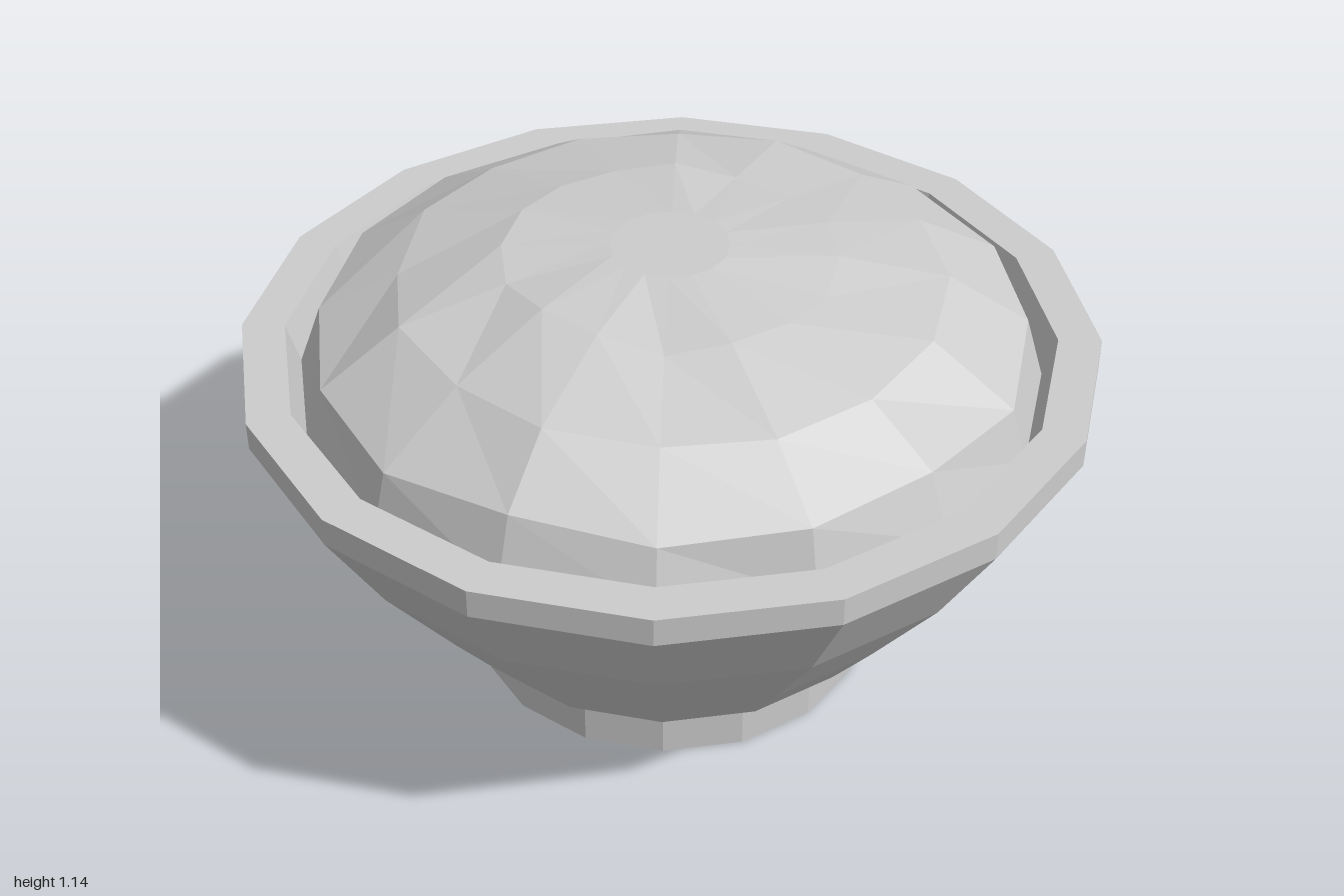
import * as THREE from 'three';

const SIDES = 16;

// Faceted turned shape with flat sides facing the axes; points are [radius, y]
function turned(points) {
  const geometry = new THREE.LatheGeometry(points.map(([r, y]) => new THREE.Vector2(r, y)), SIDES);
  return geometry.rotateY(Math.PI / SIDES);
}

// Repeatable value between -1 and 1
function wobble(a, b) {
  const s = Math.sin(a * 127.1 + b * 311.7) * 43758.5453;
  return 2 * (s - Math.floor(s)) - 1;
}

export function createModel() {
  const model = new THREE.Group();
  model.name = 'filledBowl';
  const grey = new THREE.MeshStandardMaterial({ color: 0xcccccc, flatShading: true });
  grey.name = 'light grey';

  const add = (name, geometry) => {
    const mesh = new THREE.Mesh(geometry, grey);
    mesh.name = name;
    model.add(mesh);
  };

  // Foot ring with a closed underside
  add('foot', turned([[0, 0], [0.5, 0], [0.5, 0.147]]));

  // Bowl wall, upright rim band, lip and hollow inside
  add('bowl', turned([
    [0, 0.145], [0.5, 0.145], [0.575, 0.17], [0.69, 0.32], [0.877, 0.575], [1.02, 0.82],
    [1.02, 0.89], [0.917, 0.89], [0.887, 0.79], [0.79, 0.6], [0.6, 0.34], [0.5, 0.22], [0, 0.22],
  ]));

  // Lumpy mound filling the bowl
  const rings = [[0.887, 0.79], [0.84, 0.935], [0.65, 1.055], [0.39, 1.118], [0.14, 1.14], [0, 1.14]];
  const mound = turned(rings);
  const pos = mound.attributes.position;
  for (let i = 0; i < pos.count; i++) {
    const ring = i % rings.length;
    const side = Math.floor(i / rings.length) % SIDES;
    if (ring === 0 || ring > 3) continue;
    const x = pos.getX(i), z = pos.getZ(i);
    const scale = 1 + 0.02 * wobble(side, ring + 7);
    const tilt = ring === 3 ? -0.02 * (x + z) : 0;
    pos.setXYZ(i, x * scale, pos.getY(i) + 0.016 * wobble(side, ring) + tilt, z * scale);
  }
  mound.computeVertexNormals();
  add('mound', mound);

  return model;
}
